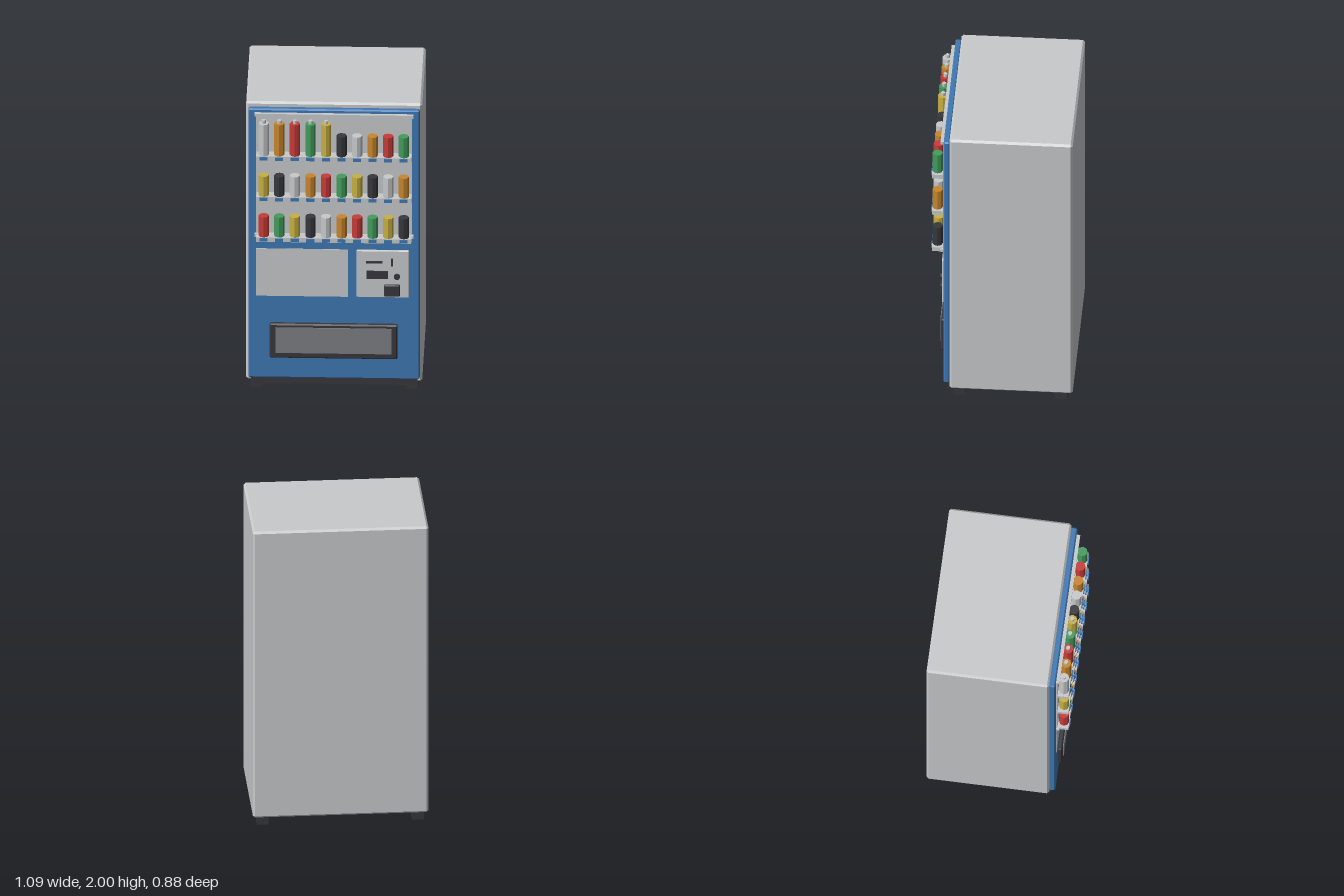
import * as THREE from 'three';
import { ConvexGeometry } from 'three/addons/geometries/ConvexGeometry.js';

const paint = (name, color) => {
  const m = new THREE.MeshStandardMaterial({ color });
  m.name = name;
  return m;
};

// Box given by its limits on each axis
function box(x0, x1, y0, y1, z0, z1) {
  return new THREE.BoxGeometry(x1 - x0, y1 - y0, z1 - z0)
    .translate((x0 + x1) / 2, (y0 + y1) / 2, (z0 + z1) / 2);
}

// Box with every edge cut at 45 degrees by c
function chamferBox(x0, x1, y0, y1, z0, z1, c) {
  const h = [(x1 - x0) / 2, (y1 - y0) / 2, (z1 - z0) / 2];
  const points = [];
  for (const sx of [-1, 1]) for (const sy of [-1, 1]) for (const sz of [-1, 1]) {
    for (let full = 0; full < 3; full++) {
      const d = h.map((v, i) => (i === full ? v : v - c));
      points.push(new THREE.Vector3(sx * d[0], sy * d[1], sz * d[2]));
    }
  }
  return new ConvexGeometry(points)
    .translate((x0 + x1) / 2, (y0 + y1) / 2, (z0 + z1) / 2);
}

export function createModel() {
  const light = paint('lightGrey', 0xc8cacc);
  const blue = paint('blue', 0x3f78b4);
  const black = paint('black', 0x38383d);
  const grey = paint('flapGrey', 0x7c7f82);
  const red = paint('red', 0xc83c38);
  const green = paint('green', 0x439c5c);
  const yellow = paint('yellow', 0xc8b042);
  const orange = paint('orange', 0xc8862e);

  const group = new THREE.Group();
  group.name = 'vendingMachine';
  const add = (name, geometry, material, parent = group) => {
    const mesh = new THREE.Mesh(geometry, material);
    mesh.name = name;
    parent.add(mesh);
    return mesh;
  };

  // Cabinet, door, kick plate and feet
  add('cabinet', chamferBox(-0.545, 0.545, 0.06, 2, -0.445, 0.32, 0.013), light);
  add('door', chamferBox(-0.53, 0.53, 0.095, 1.97, 0.318, 0.357, 0.008), blue);
  add('kickPlate', box(-0.515, 0.515, 0.045, 0.096, 0.318, 0.333), black);
  for (const x of [-0.482, 0.482]) for (const z of [-0.372, 0.258]) {
    add('foot', box(x - 0.037, x + 0.037, 0, 0.065, z - 0.037, z + 0.037), black);
  }

  // Display backing and its two rails
  add('displayBacking', box(-0.483, 0.483, 1.055, 1.93, 0.355, 0.365), light);
  add('topRail', box(-0.492, 0.492, 1.927, 1.947, 0.355, 0.379), light);
  add('bottomRail', box(-0.492, 0.492, 1.087, 1.107, 0.355, 0.379), light);

  // Shelves of drinks, each listed from the model's right to its left
  const canShape = new THREE.CylinderGeometry(0.032, 0.032, 0.138, 8).toNonIndexed();
  const bottleShape = new THREE.CylinderGeometry(0.032, 0.032, 0.217, 8).toNonIndexed();
  const capShape = new THREE.CylinderGeometry(0.013, 0.013, 0.022, 8).toNonIndexed();
  for (const g of [canShape, bottleShape, capShape]) g.computeVertexNormals();
  const cycle = [light, orange, red, green, yellow, black];
  const rows = [
    { y: 1.678, start: 0, bottles: 5 },
    { y: 1.395, start: 4, bottles: 0 },
    { y: 1.112, start: 2, bottles: 0 },
  ];
  const orders = [
    cycle,
    [yellow, black, light, orange, red, green],
    [red, green, yellow, black, light, orange],
  ];
  rows.forEach(({ y, bottles }, r) => {
    const shelf = new THREE.Group();
    shelf.name = 'shelf' + (r + 1);
    group.add(shelf);
    add('shelfBoard', box(-0.48, 0.48, y - 0.03, y, 0.36, 0.433), light, shelf);
    for (let i = 0; i < 10; i++) {
      const x = (i - 4.5) * 0.0963;
      const bottle = i < bottles;
      const height = bottle ? 0.217 : 0.138;
      const drink = add(bottle ? 'bottle' : 'can', bottle ? bottleShape : canShape,
        orders[r][i % 6], shelf);
      drink.position.set(x, y + height / 2, 0.4);
      if (bottle) add('bottleCap', capShape, light, shelf).position.set(x, y + height + 0.011, 0.4);
      add('selectButton', box(x - 0.025, x + 0.025, y - 0.025, y - 0.004, 0.43, 0.44), blue, shelf);
    }
  });

  // Blank notice plate
  add('noticePlate', box(-0.484, 0.087, 0.668, 0.998, 0.355, 0.36), light);

  // Payment panel
  const pay = new THREE.Group();
  pay.name = 'paymentPanel';
  group.add(pay);
  add('panelPlate', chamferBox(0.14, 0.465, 0.672, 0.998, 0.352, 0.372, 0.004), light, pay);
  add('noteSlot', box(0.2, 0.3, 0.912, 0.928, 0.37, 0.378), black, pay);
  add('coinSlot', box(0.352, 0.367, 0.893, 0.947, 0.37, 0.38), black, pay);
  add('priceDisplay', box(0.203, 0.336, 0.805, 0.859, 0.37, 0.378), black, pay);
  add('returnKnob', new THREE.CylinderGeometry(0.019, 0.019, 0.015, 12).rotateX(Math.PI / 2),
    black, pay).position.set(0.39, 0.822, 0.378);
  add('coinReturn', chamferBox(0.309, 0.409, 0.687, 0.765, 0.365, 0.388, 0.006), black, pay);

  // Delivery hatch
  add('hatchFrame', chamferBox(-0.398, 0.394, 0.245, 0.483, 0.345, 0.383, 0.008), black);
  add('hatchFlap', box(-0.36, 0.356, 0.285, 0.461, 0.38, 0.389), grey);

  return group;
}
